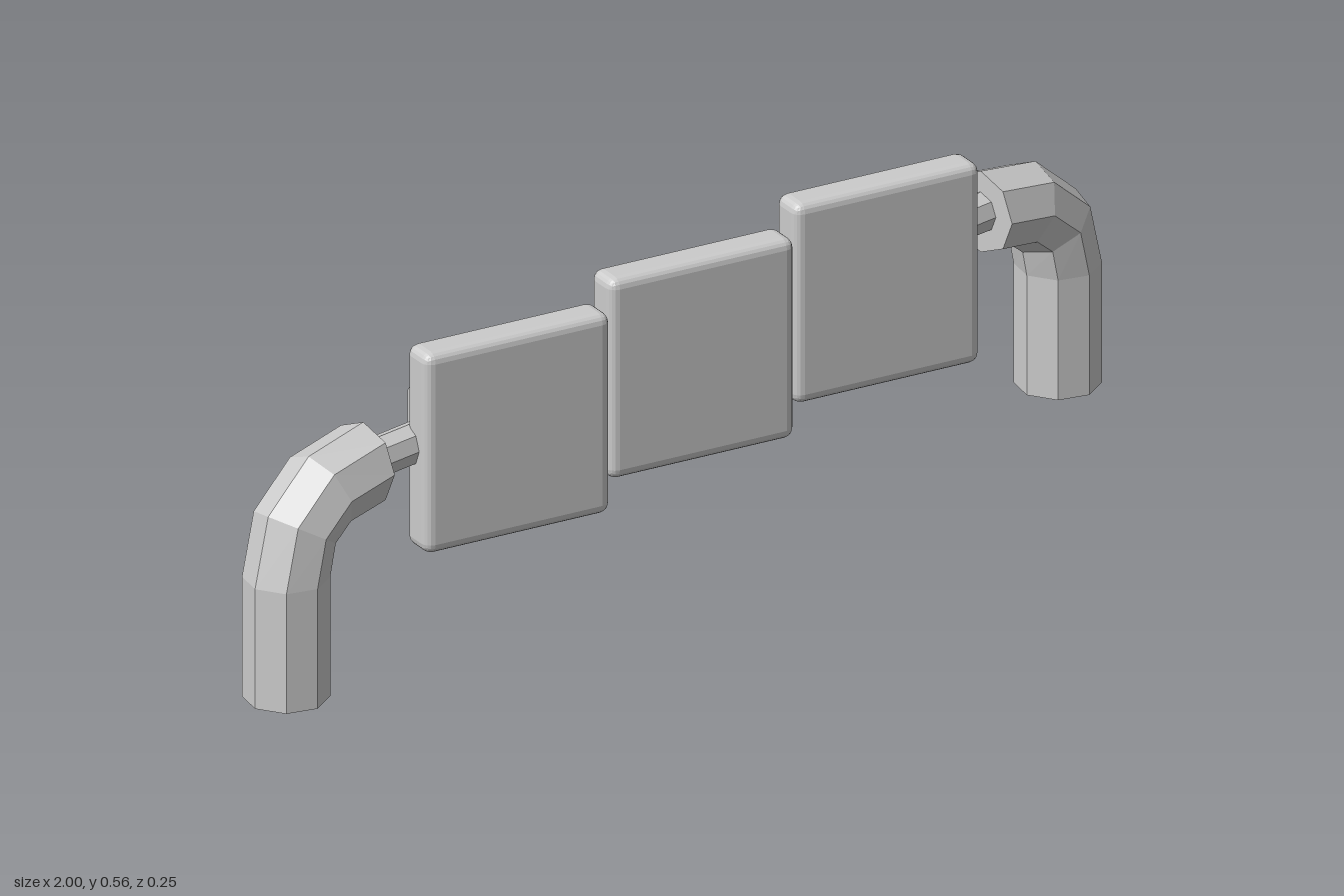
import * as THREE from 'three';
import { RoundedBoxGeometry } from 'three/addons/geometries/RoundedBoxGeometry.js';

const BAR_Y = 0.372, BAR_Z = -0.025, SIDES = 8;
const material = new THREE.MeshStandardMaterial({ color: 0xcccccc, flatShading: true });

function addMesh(parent, name, geometry, x = 0, y = 0, z = 0) {
  const mesh = new THREE.Mesh(geometry, material);
  mesh.name = name;
  mesh.position.set(x, y, z);
  parent.add(mesh);
  return mesh;
}

// Capped octagonal pipe: straight post, then a three-step elbow towards the bar
function legGeometry(radius) {
  const bend = new THREE.QuadraticBezierCurve(
    new THREE.Vector2(0.925, 0.22), new THREE.Vector2(0.925, BAR_Y), new THREE.Vector2(0.74, BAR_Y));
  const rings = [{ p: new THREE.Vector2(0.925, 0), t: new THREE.Vector2(0, 1) }];
  for (let i = 0; i <= 3; i++) rings.push({ p: bend.getPoint(i / 3), t: bend.getTangent(i / 3) });

  const positions = [], index = [];
  for (const { p, t } of rings) {
    for (let j = 0; j < SIDES; j++) {
      const a = (j / SIDES) * Math.PI * 2, c = Math.cos(a) * radius;
      positions.push(p.x + t.y * c, p.y - t.x * c, Math.sin(a) * radius);
    }
  }
  const last = (rings.length - 1) * SIDES;
  for (let j = 0; j < SIDES; j++) {
    const k = (j + 1) % SIDES;
    for (let r = 0; r < last; r += SIDES) {
      index.push(r + j, r + SIDES + j, r + k, r + k, r + SIDES + j, r + SIDES + k);
    }
    if (j > 0 && j < SIDES - 1) index.push(0, j, k, last, last + k, last + j);
  }
  const geometry = new THREE.BufferGeometry();
  geometry.setAttribute('position', new THREE.Float32BufferAttribute(positions, 3));
  geometry.setIndex(index);
  const flat = geometry.toNonIndexed();
  flat.computeVertexNormals();
  return flat;
}

// Clamp block profile (depth behind the panel, height) with a raised ridge at the back
function clampGeometry(width) {
  const shape = new THREE.Shape([
    [0.02, -0.111], [0.13, -0.111], [0.13, -0.063], [0.15, -0.037],
    [0.15, 0.037], [0.13, 0.063], [0.13, 0.111], [0.02, 0.111],
  ].map(([x, y]) => new THREE.Vector2(x, y)));
  const geometry = new THREE.ExtrudeGeometry(shape, { depth: width, bevelEnabled: false });
  geometry.translate(0, 0, -width / 2);
  geometry.rotateY(Math.PI / 2);
  return geometry;
}

export function createModel() {
  const model = new THREE.Group();
  model.name = 'panelRail';

  // Bent end legs
  const leg = legGeometry(0.0745);
  addMesh(model, 'leftLeg', leg, 0, 0, BAR_Z);
  addMesh(model, 'rightLeg', leg, 0, 0, BAR_Z).rotation.y = Math.PI;

  // Horizontal bar
  const bar = new THREE.CylinderGeometry(0.036, 0.036, 1.52, SIDES);
  bar.rotateZ(Math.PI / 2);
  addMesh(model, 'bar', bar, 0, BAR_Y, BAR_Z);

  // Three angled panels, each clamped to the bar and held by four bolts
  const panel = new RoundedBoxGeometry(0.362, 0.368, 0.07, 2, 0.018);
  const clamp = clampGeometry(0.22);
  const bolt = new THREE.CylinderGeometry(0.0175, 0.0175, 0.02, SIDES);
  bolt.rotateX(Math.PI / 2);
  [-0.465, -0.023, 0.421].forEach((x, i) => {
    const unit = new THREE.Group();
    unit.name = `panelUnit${i + 1}`;
    unit.position.set(x, BAR_Y, 0.0475);
    unit.rotation.y = -Math.PI / 12;
    addMesh(unit, 'panel', panel);
    addMesh(unit, 'clamp', clamp);
    for (const sx of [-1, 1]) {
      for (const sy of [-1, 1]) addMesh(unit, 'bolt', bolt, sx * 0.073, sy * 0.086, -0.129);
    }
    model.add(unit);
  });
  return model;
}
